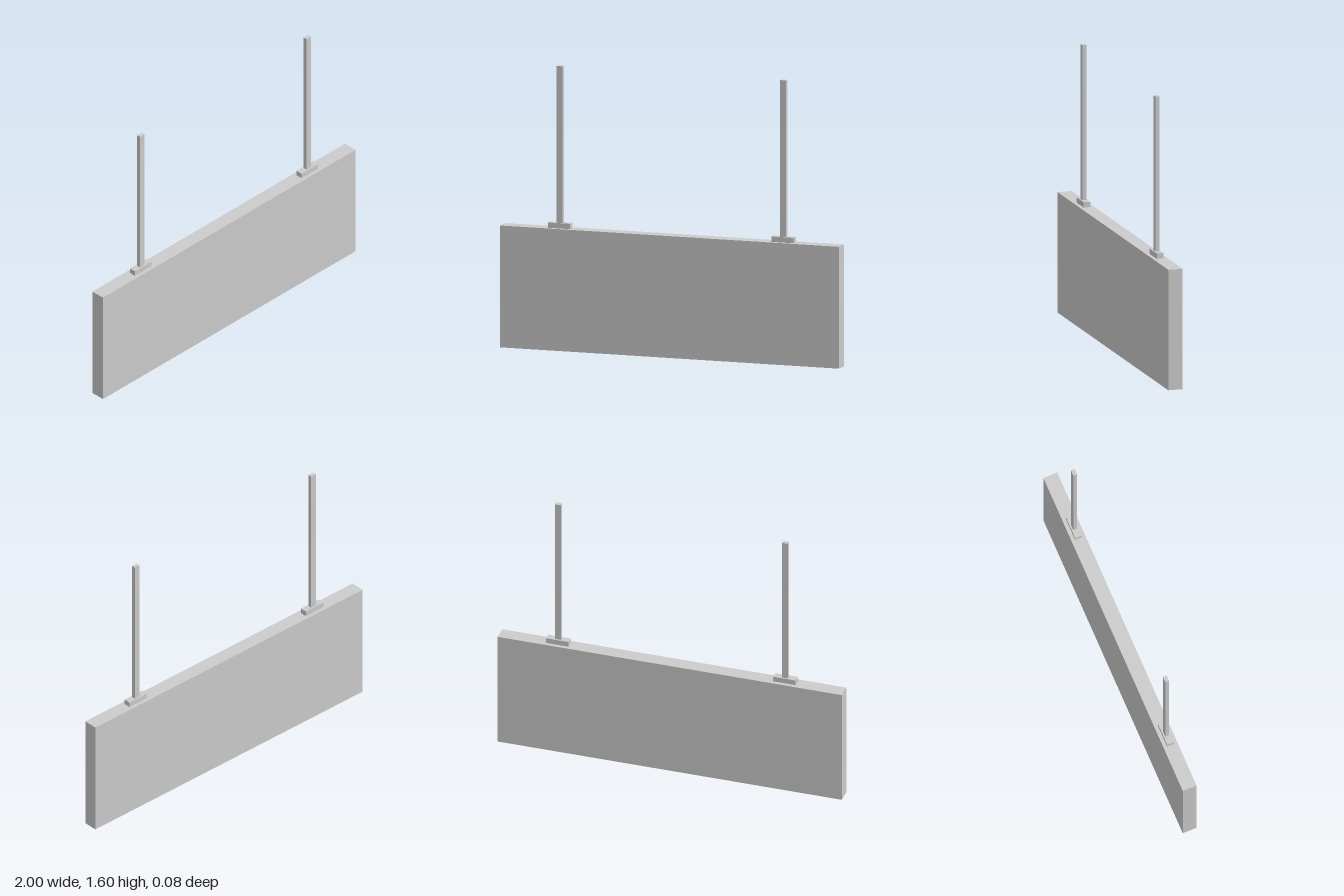
import * as THREE from 'three';

export function createModel() {
  const group = new THREE.Group();
  const material = new THREE.MeshStandardMaterial({ color: 0xcccccc });

  // Box placed by its base height
  function addBox(name, width, height, depth, x, baseY) {
    const mesh = new THREE.Mesh(new THREE.BoxGeometry(width, height, depth), material);
    mesh.name = name;
    mesh.position.set(x, baseY + height / 2, 0);
    group.add(mesh);
  }

  // Hanging sign panel
  const panelTop = 0.685, plateTop = 0.715, rodTop = 1.596;
  addBox('signPanel', 2, panelTop, 0.083, 0, 0);

  // Mounting plates and suspension rods, mirrored
  for (const [side, s] of [['left', 1], ['right', -1]]) {
    addBox(side + 'MountingPlate', 0.131, plateTop - panelTop, 0.04, s * 0.66, panelTop);
    addBox(side + 'HangingRod', 0.035, rodTop - plateTop, 0.023, s * 0.66, plateTop);
  }
  return group;
}
